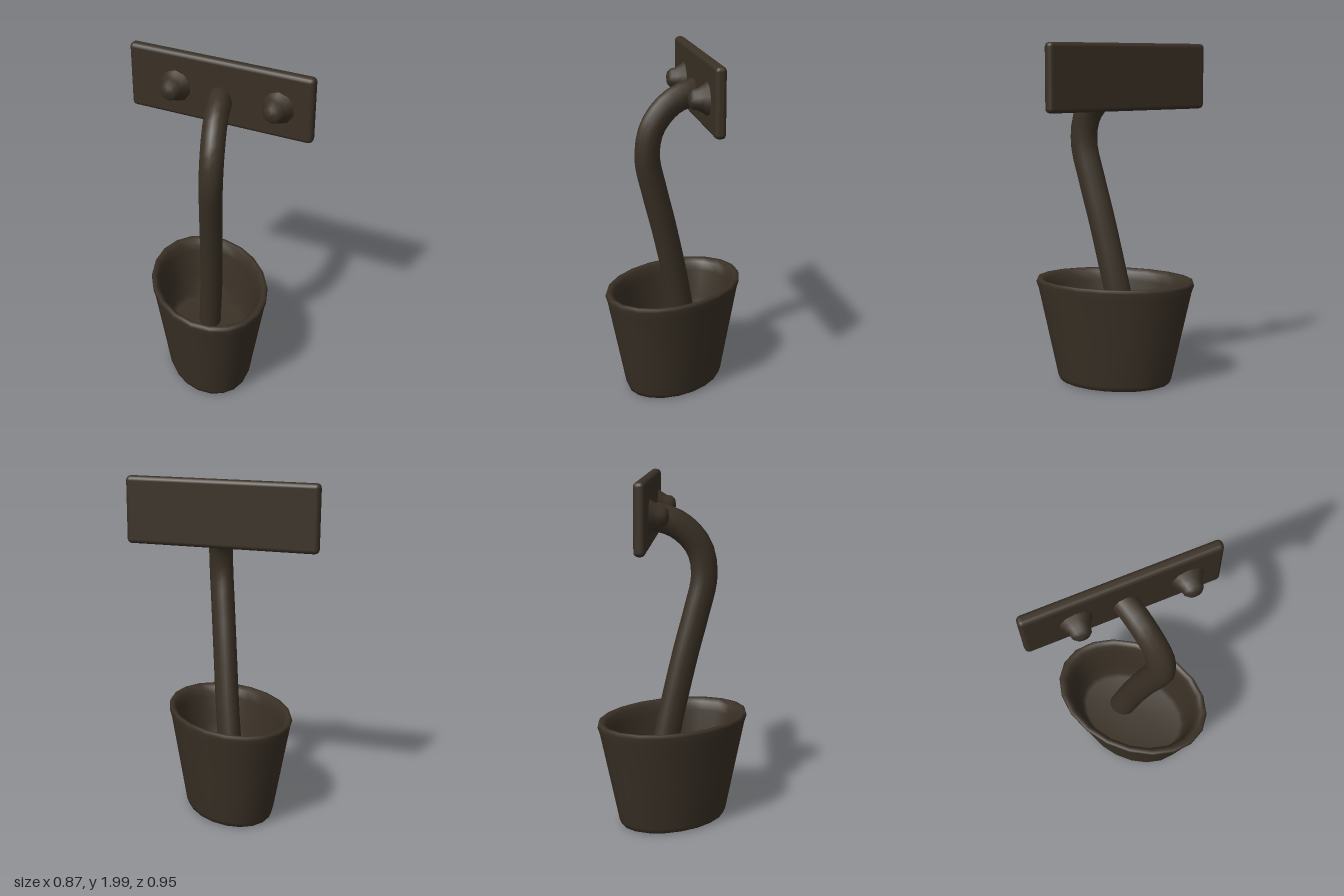
import * as THREE from 'three';
import { RoundedBoxGeometry } from 'three/addons/geometries/RoundedBoxGeometry.js';

export function createModel() {
  const model = new THREE.Group();
  const darkBrown = new THREE.MeshStandardMaterial({ color: 0x3a3126 });
  darkBrown.name = 'darkBrown';

  function add(parent, name, geometry) {
    const mesh = new THREE.Mesh(geometry, darkBrown);
    mesh.name = name;
    parent.add(mesh);
    return mesh;
  }
  const lathe = (points, sides) =>
    new THREE.LatheGeometry(points.map(([r, y]) => new THREE.Vector2(r, y)), sides);

  // Oval hollow pot: underside, outer wall, rolled rim, inner wall and floor
  const pot = add(model, 'pot', lathe([
    [0, 0.02], [0.19, 0.015], [0.222, 0.005], [0.236, 0.012], [0.245, 0.04],
    [0.285, 0.3], [0.327, 0.57], [0.337, 0.61], [0.332, 0.628], [0.315, 0.628],
    [0.298, 0.61], [0.285, 0.56], [0.262, 0.4], [0.245, 0.28], [0.225, 0.25], [0, 0.25],
  ], 20));
  pot.position.x = -0.1;
  pot.scale.z = 1.41;

  // Bent stem, slightly narrower across than deep
  const narrow = 0.82;
  const path = new THREE.CatmullRomCurve3([
    [-0.075, 0.2, -0.1], [-0.085, 0.63, -0.005], [-0.105, 1.0, 0.085],
    [-0.12, 1.22, 0.145], [-0.13, 1.43, 0.193], [-0.115, 1.59, 0.168],
    [-0.075, 1.71, 0.07], [-0.03, 1.76, -0.03], [0.0, 1.77, -0.1],
  ].map(([x, y, z]) => new THREE.Vector3(x / narrow, y, z)));
  const stem = add(model, 'stem', new THREE.TubeGeometry(path, 32, 0.081, 12));
  stem.scale.x = narrow;

  // Slanted board with a pair of blunt knobs on its front
  const head = new THREE.Group();
  head.name = 'head';
  head.position.set(0, 1.81, -0.103);
  head.rotation.y = -0.693;
  model.add(head);

  add(head, 'board', new RoundedBoxGeometry(1.09, 0.378, 0.062, 2, 0.025));

  const knobShape = lathe([
    [0.1, 0], [0.078, 0.03], [0.06, 0.06], [0.054, 0.09], [0.035, 0.108], [0, 0.113],
  ], 10);
  knobShape.rotateX(Math.PI / 2);
  for (const [name, x] of [['rightKnob', -0.26], ['leftKnob', 0.35]]) {
    add(head, name, knobShape).position.set(x, -0.01, 0.02);
  }

  return model;
}
